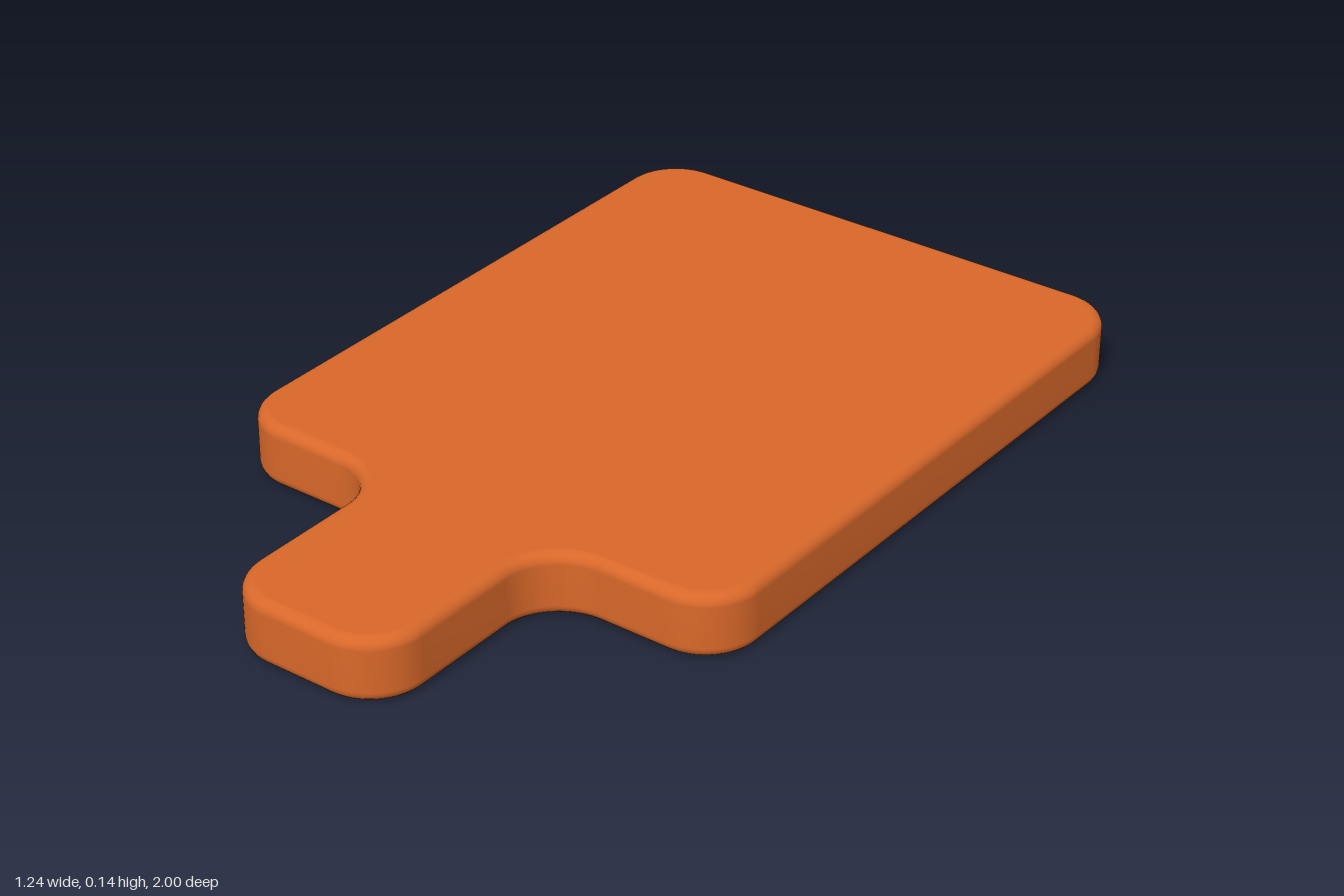
import * as THREE from 'three';
import { mergeVertices } from 'three/addons/utils/BufferGeometryUtils.js';

const HEIGHT = 0.143, BEVEL = 0.025, RADIUS = 0.125;
const HALF_BOARD = 0.62, HALF_HANDLE = 0.205, SHOULDER = 0.5;

// Outline in plan: rounded board with a handle, joined by fillets.
function boardOutline() {
  const shape = new THREE.Shape();
  const q = Math.PI / 2, r = RADIUS;
  const corner = (x, z, quarter) => shape.absarc(x, z, r, quarter * q, (quarter + 1) * q, false);
  const fillet = (x, z, quarter) => shape.absarc(x, z, r, quarter * q, (quarter - 1) * q, true);
  corner(HALF_HANDLE - r, 1 - r, 0);
  corner(r - HALF_HANDLE, 1 - r, 1);
  fillet(-HALF_HANDLE - r, SHOULDER + r, 0);
  corner(r - HALF_BOARD, SHOULDER - r, 1);
  corner(r - HALF_BOARD, r - 1, 2);
  corner(HALF_BOARD - r, r - 1, 3);
  corner(HALF_BOARD - r, SHOULDER - r, 0);
  fillet(HALF_HANDLE + r, SHOULDER + r, 3);
  shape.closePath();
  return shape;
}

export function createModel() {
  const group = new THREE.Group();
  group.name = 'cuttingBoard';

  // Slab with softly rounded top and bottom edges
  let geometry = new THREE.ExtrudeGeometry(boardOutline(), {
    depth: HEIGHT - 2 * BEVEL,
    bevelThickness: BEVEL,
    bevelSize: BEVEL,
    bevelOffset: -BEVEL,
    bevelSegments: 5,
    curveSegments: 10,
  });
  geometry.rotateX(Math.PI / 2).translate(0, HEIGHT - BEVEL, 0);

  // Weld the faces so the shading runs smoothly around the edges
  geometry.deleteAttribute('normal');
  geometry.deleteAttribute('uv');
  geometry = mergeVertices(geometry, 1e-4);
  geometry.computeVertexNormals();

  const board = new THREE.Mesh(geometry, new THREE.MeshStandardMaterial({ color: 0xd9682a }));
  board.name = 'board';
  group.add(board);
  return group;
}
